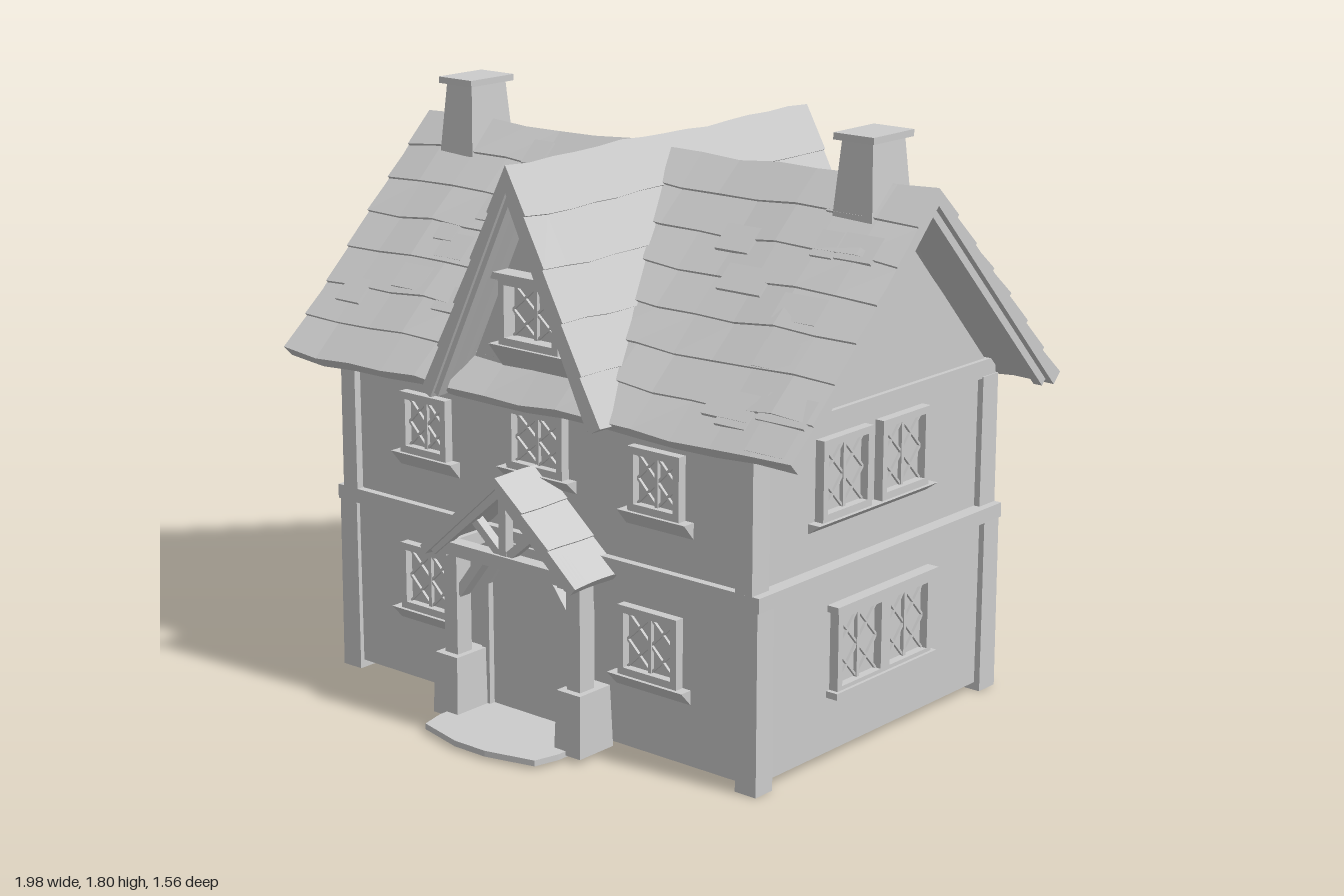
import * as THREE from 'three';

const mat = new THREE.MeshStandardMaterial({ color: 0xcccccc, flatShading: true });

function add(parent, name, geo, x = 0, y = 0, z = 0) {
  const m = new THREE.Mesh(geo, mat);
  m.name = name;
  m.position.set(x, y, z);
  parent.add(m);
  return m;
}

// Box given by its limits; the top can be narrowed by tx and tz
function block(parent, name, [x0, x1], [y0, y1], [z0, z1], tx = 1, tz = tx) {
  const g = new THREE.BoxGeometry(x1 - x0, y1 - y0, z1 - z0);
  const p = g.attributes.position;
  for (let i = 0; i < p.count; i++)
    if (p.getY(i) > 0) p.setXYZ(i, p.getX(i) * tx, p.getY(i), p.getZ(i) * tz);
  return add(parent, name, g, (x0 + x1) / 2, (y0 + y1) / 2, (z0 + z1) / 2);
}

// Straight timber between two points in the XY plane
function beam(parent, name, [ax, ay], [bx, by], width, z, depth) {
  const g = new THREE.BoxGeometry(Math.hypot(bx - ax, by - ay), width, depth);
  const m = add(parent, name, g, (ax + bx) / 2, (ay + by) / 2, z);
  m.rotation.z = Math.atan2(by - ay, bx - ax);
  return m;
}

function extrude(points, depth, steps = 1, hole) {
  const s = new THREE.Shape(points.map(p => new THREE.Vector2(...p)));
  if (hole) s.holes.push(new THREE.Path(hole.map(p => new THREE.Vector2(...p))));
  return new THREE.ExtrudeGeometry(s, { depth, steps, bevelEnabled: false });
}

// Gable roof along z with overlapping shingle courses and a gently uneven surface
function gableRoof(parent, name, half, ridge, eave, z0, z1, thick, rows, wobble) {
  const H = ridge - eave, L = Math.hypot(half, H), nx = H / L, ny = half / L, lift = wobble;
  const side = [];
  for (let i = 0; i <= rows; i++) {
    const t = i / rows, x = half * t, y = ridge - H * t;
    if (i > 0) side.push([x + nx * lift, y + ny * lift]);
    if (i > 0) side.push([x, y]);
  }
  side.push([half - nx * thick, eave - ny * thick]);
  const mirrored = side.map(([x, y]) => [-x, y]).reverse();
  const pts = [[0, ridge], ...side, [0, ridge - thick / ny], ...mirrored];
  const g = extrude(pts.reverse(), z1 - z0, 14);
  const p = g.attributes.position;
  for (let i = 0; i < p.count; i++) {
    const x = p.getX(i), z = p.getZ(i);
    p.setY(i, p.getY(i) + wobble * (Math.sin(z * 9 + x * 5) * 0.6 + Math.sin(z * 23 + x * 17) * 0.4));
  }
  return add(parent, name, g, 0, 0, z0);
}

// Loose shingles laid on both slopes of a gable roof
function looseShingles(parent, half, ridge, eave, length, count, skip) {
  let seed = 7;
  const rnd = () => (seed = (seed * 16807) % 2147483647) / 2147483647;
  const pitch = Math.atan2(ridge - eave, half);
  for (let i = 0; i < count; i++) {
    const s = i % 2 ? 1 : -1, t = 0.1 + 0.85 * rnd(), z = (rnd() - 0.5) * length;
    if (Math.abs(z) < skip) continue;
    const m = add(parent, 'shingle', new THREE.BoxGeometry(0.09, 0.012, 0.07 + 0.1 * rnd()),
      s * half * t, ridge - (ridge - eave) * t + 0.006, z);
    m.rotation.z = -s * (pitch - 0.05);
  }
}

// Leaded window facing +z, with origin at the centre of the opening on the wall
function makeWindow(parent, w, h, x, y, z, rotY = 0, sill = 0.05, depth = 0.03) {
  const g = new THREE.Group();
  g.name = 'window';
  g.position.set(x, y, z);
  g.rotation.y = rotY;
  parent.add(g);
  const a = w / 2, b = h / 2, f = 0.022;
  add(g, 'windowFrame', extrude([[-a, -b], [a, -b], [a, b], [-a, b]], depth, 1,
    [[-a + f, -b + f], [-a + f, b - f], [a - f, b - f], [a - f, -b + f]]));
  block(g, 'pane', [-a + f, a - f], [-b + f, b - f], [-0.01, 0.004]);
  const u = a - f, v = b - f;
  for (const s of [-1, 1]) {
    beam(g, 'leadBar', [-u, -v * s], [u, v * s], 0.007, 0.008, 0.01);
    beam(g, 'leadBar', [-u, 0], [0, v * s], 0.007, 0.008, 0.01);
    beam(g, 'leadBar', [u, 0], [0, v * s], 0.007, 0.008, 0.01);
  }
  block(g, 'mullion', [-0.006, 0.006], [-v, v], [0, 0.016]);
  // Sloping sill
  if (sill) {
    const s = extrude([[0, 0], [depth + 0.012, 0], [0, -sill]].reverse(), w + 0.06).rotateY(-Math.PI / 2);
    add(g, 'windowSill', s, a + 0.03, -b, 0);
  }
  return g;
}

export function createModel() {
  const house = new THREE.Group();
  house.name = 'cottage';

  // Walls of both storeys and the gable ends
  block(house, 'lowerStorey', [-0.81, 0.81], [0.03, 0.58], [-0.67, 0.475]);
  block(house, 'upperStorey', [-0.79, 0.79], [0.56, 1.02], [-0.66, 0.465]);
  const mainGable = extrude([[-0.59, 1], [0.59, 1], [0, 1.62]], 1.58).rotateY(Math.PI / 2);
  add(house, 'sideGableWall', mainGable, -0.79, 0, -0.1);
  add(house, 'crossGableWall', extrude([[-0.31, 0.99], [0.31, 0.99], [0, 1.63]], 1.13), 0, 0, -0.665);

  // Corner posts, with splayed feet
  for (const sx of [-1, 1]) for (const [zo, zi] of [[0.49, 0.415], [-0.69, -0.61]]) {
    const xs = (a, b) => [Math.min(sx * a, sx * b), Math.max(sx * a, sx * b)];
    const zs = [Math.min(zo, zi), Math.max(zo, zi)];
    block(house, 'lowerCornerPost', xs(0.755, 0.83), [0.005, 0.57], zs, 0.95);
    block(house, 'upperCornerPost', xs(0.75, 0.81), [0.57, 1.0], zs, 0.97);
  }

  // Horizontal timbers around the house
  for (const [y0, y1, x, zf, zb] of [[0.55, 0.595, 0.835, 0.49, -0.69], [0.995, 1.05, 0.805, 0.48, -0.68]]) {
    for (const s of [-1, 1])
      block(house, 'sideBeam', s > 0 ? [x - 0.06, x] : [-x, 0.06 - x], [y0, y1], [zb, zf]);
    block(house, 'frontBeam', [-x, x], [y0, Math.min(y1, 1.02)], [zf - 0.05, zf]);
    block(house, 'backBeam', [-x, x], [y0, Math.min(y1, 1.02)], [zb, zb + 0.05]);
  }
  block(house, 'backStud', [0.0, 0.02], [0.59, 1], [-0.668, -0.65]);

  // Main roof, running along x
  const main = new THREE.Group();
  main.name = 'mainRoof';
  main.rotation.y = Math.PI / 2;
  main.position.z = -0.095;
  house.add(main);
  gableRoof(main, 'mainRoofShingles', 0.645, 1.675, 1.01, -0.99, 0.99, 0.035, 7, 0.01);
  looseShingles(main, 0.645, 1.675, 1.01, 1.8, 80, 0.42);
  for (const z of [-0.955, 0.955]) for (const s of [-1, 1])
    beam(main, 'bargeboard', [0, 1.615], [s * 0.6, 1.0], 0.035, z, 0.03);

  // Cross gable roof, running along z
  gableRoof(house, 'crossRoofShingles', 0.345, 1.715, 1.005, -0.78, 0.6, 0.035, 5, 0.007);
  for (const z of [-0.755, 0.575]) for (const s of [-1, 1])
    beam(house, 'crossBargeboard', [0, 1.63], [s * 0.305, 1.0], 0.03, z, 0.03);
  for (const z of [-0.668, 0.468]) block(house, 'kingPost', [0.01, 0.025], [1.38, 1.56], [z - 0.008, z + 0.008]);

  // Chimneys
  for (const x of [-0.77, 0.77]) {
    block(house, 'chimney', [x - 0.07, x + 0.07], [1.56, 1.79], [-0.18, 0.01], 0.76, 0.8);
    block(house, 'chimneyCap', [x - 0.07, x + 0.07], [1.79, 1.81], [-0.18, 0.01]);
  }

  // Front windows
  for (const s of [-1, 1]) {
    makeWindow(house, 0.22, 0.21, s * 0.44, 0.365, 0.475, 0, 0.045);
    makeWindow(house, 0.19, 0.19, s * 0.455, 0.85, 0.465, 0, 0.05);
  }
  makeWindow(house, 0.22, 0.19, 0, 0.885, 0.465, 0, 0.04);
  makeWindow(house, 0.23, 0.2, 0, 1.265, 0.465, 0, 0.08, 0.05);
  block(house, 'atticWindowHood', [-0.13, 0.12], [1.36, 1.38], [0.46, 0.53]);

  // Side windows: a pair upstairs, a double casement in a box frame downstairs
  for (const s of [-1, 1]) {
    const r = s * Math.PI / 2;
    makeWindow(house, 0.23, 0.24, s * 0.79, 0.855, 0.07, r, 0.03);
    makeWindow(house, 0.23, 0.24, s * 0.79, 0.855, -0.21, r, 0.03);
    for (const z of [0.015, -0.215]) makeWindow(house, 0.23, 0.25, s * 0.81, 0.335, z, r, 0);
    const xs = s > 0 ? [0.8, 0.85] : [-0.85, -0.8];
    block(house, 'sideWindowHood', xs, [0.46, 0.48], [-0.345, 0.145]);
    block(house, 'sideWindowLedge', xs, [0.2, 0.22], [-0.345, 0.145]);
  }

  // Front door in an angular arch
  const arch = (w, y) => [[-w, 0.03], [w, 0.03], [w, y - 0.12], [w * 0.55, y], [-w * 0.55, y], [-w, y - 0.12]];
  add(house, 'doorFrame', extrude(arch(0.215, 0.56), 0.035, 1, arch(0.185, 0.535).reverse()), 0, 0, 0.465);
  add(house, 'door', extrude(arch(0.19, 0.54), 0.02), 0, 0, 0.46);

  // Porch: pedestals, posts, braces, truss and roof
  const porch = new THREE.Group();
  porch.name = 'porch';
  house.add(porch);
  for (const s of [-1, 1]) {
    const c = s * 0.245;
    block(porch, 'pedestal', [c - 0.05, c + 0.05], [0.02, 0.21], [0.485, 0.63], 0.9);
    block(porch, 'porchPost', [c - 0.026, c + 0.026], [0.2, 0.55], [0.54, 0.6]);
    block(porch, 'porchRail', [c - 0.025, c + 0.025], [0.53, 0.57], [0.47, 0.64]);
    beam(porch, 'archBrace', [s * 0.225, 0.4], [s * 0.11, 0.55], 0.03, 0.57, 0.04);
    beam(porch, 'trussStrut', [0, 0.56], [s * 0.13, 0.67], 0.025, 0.615, 0.03);
    beam(porch, 'porchBargeboard', [0, 0.77], [s * 0.27, 0.54], 0.03, 0.635, 0.03);
  }
  block(porch, 'tieBeam', [-0.27, 0.27], [0.535, 0.575], [0.595, 0.64]);
  block(porch, 'porchKingPost', [-0.014, 0.014], [0.56, 0.77], [0.6, 0.632]);
  gableRoof(porch, 'porchRoof', 0.305, 0.815, 0.545, 0.46, 0.66, 0.025, 3, 0.005);

  // Doorstep slab
  const step = extrude([[-0.24, -0.46], [0.24, -0.46], [0.24, -0.66], [0.22, -0.74], [0.06, -0.78],
    [-0.06, -0.78], [-0.22, -0.74], [-0.24, -0.66]].reverse(), 0.018).rotateX(-Math.PI / 2);
  add(house, 'doorstep', step, 0, 0.015, 0);

  return house;
}
